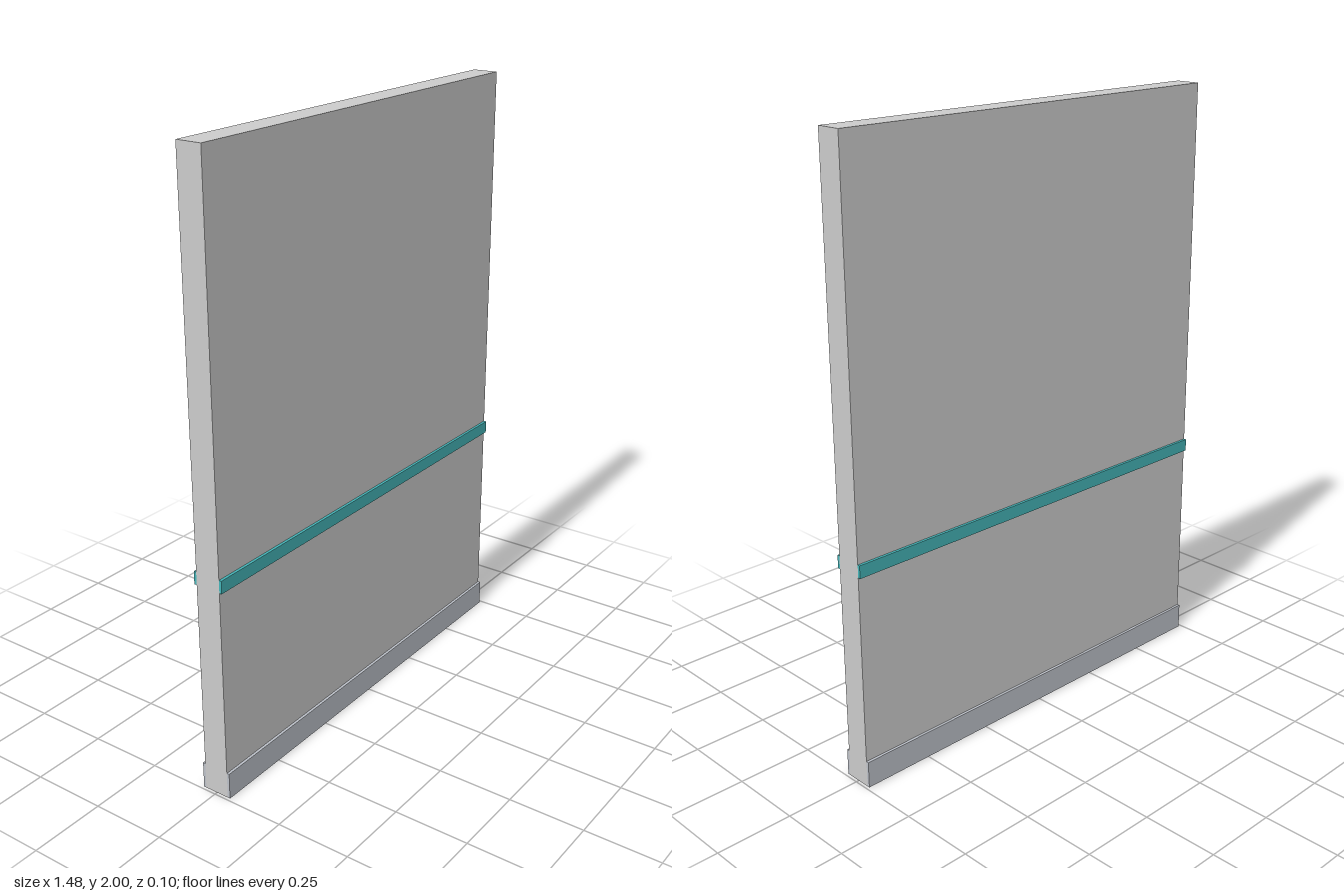
import * as THREE from 'three';

const WIDTH = 1.48, HEIGHT = 2, DEPTH = 0.086, PROUD = 0.009;

export function createModel() {
  const model = new THREE.Group();
  const wallMat = new THREE.MeshStandardMaterial({ color: 0xcccccc });
  const skirtingMat = new THREE.MeshStandardMaterial({ color: 0xbcc0c8 });
  const railMat = new THREE.MeshStandardMaterial({ color: 0x45b5b8 });

  // box spanning the full width, from y0 to y1
  const addSlab = (name, y0, y1, depth, z, material) => {
    const mesh = new THREE.Mesh(new THREE.BoxGeometry(WIDTH, y1 - y0, depth), material);
    mesh.name = name;
    mesh.position.set(0, (y0 + y1) / 2, z);
    model.add(mesh);
  };

  // wall panel
  addSlab('wallPanel', 0, HEIGHT, DEPTH, 0, wallMat);

  // skirting board and coloured rail on both faces
  for (const [side, s] of [['front', 1], ['back', -1]]) {
    const z = s * (DEPTH + PROUD) / 2;
    addSlab(side + 'Skirting', 0, 0.088, PROUD, z, skirtingMat);
    addSlab(side + 'Rail', 0.708, 0.75, PROUD, z, railMat);
  }
  return model;
}
